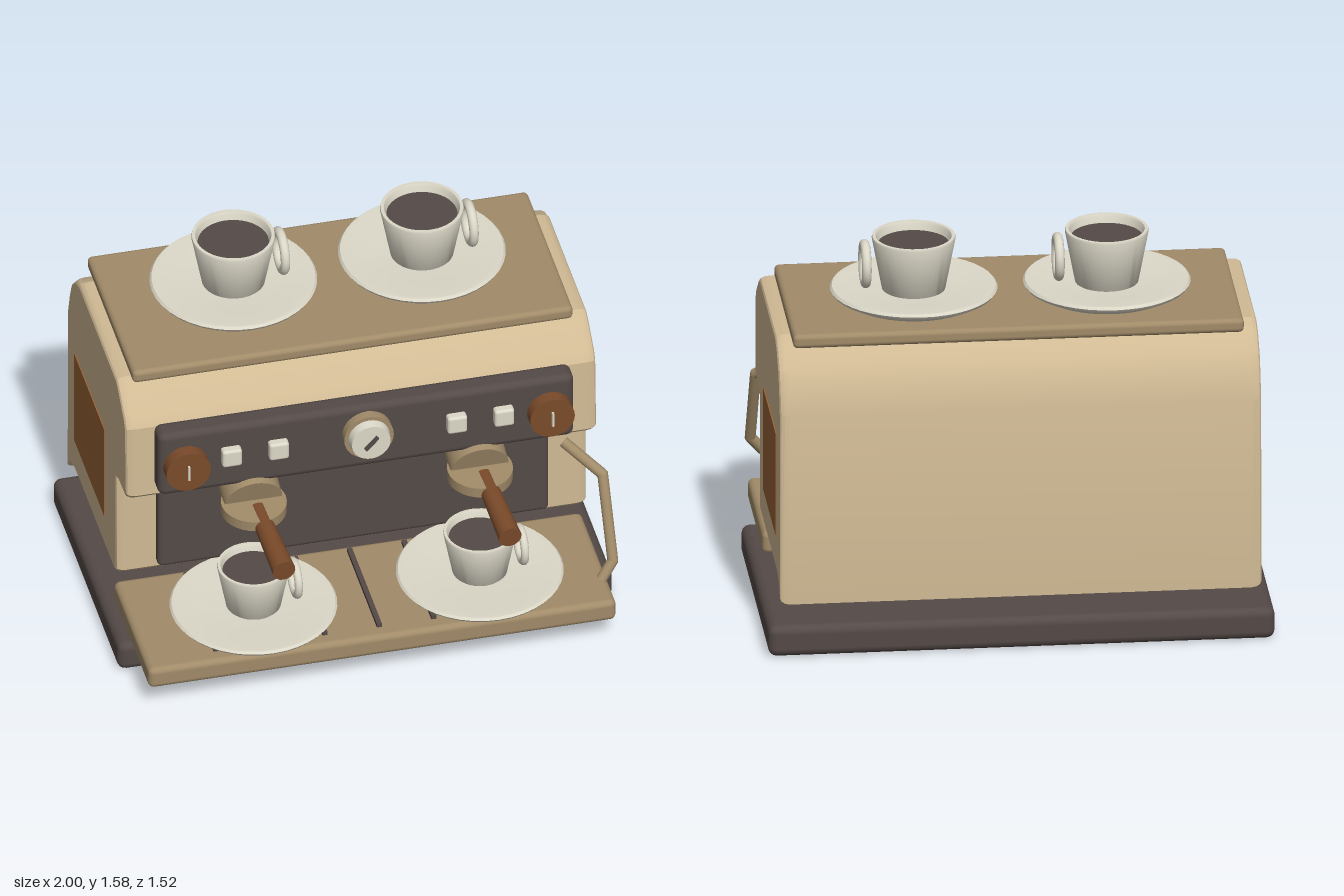
import * as THREE from 'three';
import { toCreasedNormals } from 'three/addons/utils/BufferGeometryUtils.js';
import { RoundedBoxGeometry } from 'three/addons/geometries/RoundedBoxGeometry.js';

const mat = (name, color) => {
  const m = new THREE.MeshStandardMaterial({ color });
  m.name = name;
  return m;
};

export function createModel() {
  const cream = mat('cream enamel', 0xd0ba94);
  const tan = mat('tan metal', 0xa18b69);
  const dark = mat('dark trim', 0x544a47);
  const white = mat('porcelain', 0xdcd8c8);
  const wood = mat('wood', 0x7a4a2a);
  const inlay = mat('side inlay', 0x976236);

  const model = new THREE.Group();
  model.name = 'espressoMachine';

  const add = (name, geo, material, x = 0, y = 0, z = 0, parent = model) => {
    const m = new THREE.Mesh(geo, material);
    m.name = name;
    m.position.set(x, y, z);
    parent.add(m);
    return m;
  };
  // rounded box given by its min and max on each axis
  const block = (name, material, [x0, x1], [y0, y1], [z0, z1], r) =>
    add(name, new RoundedBoxGeometry(x1 - x0, y1 - y0, z1 - z0, 2, r), material,
      (x0 + x1) / 2, (y0 + y1) / 2, (z0 + z1) / 2);
  // cylinder between two points
  const rod = (name, material, a, b, r, parent = model, sides = 24, rEnd = r) => {
    const p = new THREE.Vector3(...a), q = new THREE.Vector3(...b);
    const d = q.clone().sub(p);
    const m = add(name, new THREE.CylinderGeometry(rEnd, r, d.length(), sides), material, 0, 0, 0, parent);
    m.position.copy(p).add(q).multiplyScalar(0.5);
    m.quaternion.setFromUnitVectors(new THREE.Vector3(0, 1, 0), d.normalize());
    return m;
  };

  // base, drip tray and tray slots
  block('base', dark, [-1, 1], [0, 0.13], [-0.76, 0.36], 0.035);
  block('dripTray', tan, [-0.945, 0.945], [0.115, 0.21], [0.04, 0.64], 0.025);
  for (let i = -3; i <= 3; i++) {
    add('traySlot', new THREE.BoxGeometry(0.02, 0.02, 0.5), dark, i * 0.22, 0.217, 0.33);
  }

  // body: side profile (z, y) extruded across the width
  const profile = new THREE.Shape([
    [0.09, 0.285], [0.115, 0.31], [0.115, 0.765], [0.14, 0.78], [0.265, 0.785],
    [0.29, 0.81], [0.285, 0.9], [0.275, 1.13], [0.25, 1.17], [0.15, 1.25], [0.11, 1.27],
    [-0.51, 1.27], [-0.58, 1.24], [-0.65, 1.17], [-0.68, 1.1], [-0.71, 1.0],
    [-0.71, 0.205], [-0.66, 0.255], [-0.6, 0.28], [-0.5, 0.285],
  ].map(([z, y]) => new THREE.Vector2(z, y)));
  const bodyGeo = new THREE.ExtrudeGeometry(profile, {
    depth: 1.82, bevelEnabled: true, bevelThickness: 0.04, bevelSize: 0.018,
    bevelOffset: -0.018, bevelSegments: 3,
  });
  bodyGeo.translate(0, 0, -0.91);
  bodyGeo.rotateY(-Math.PI / 2);
  add('body', toCreasedNormals(bodyGeo, 0.4), cream);
  for (const s of [-1, 1]) {
    add('sideInlay', new THREE.BoxGeometry(0.008, 0.43, 0.495), inlay, s * 0.951, 0.66, -0.3225);
  }

  // cup shelf, control panel and backsplash
  block('cupShelf', tan, [-0.89, 0.89], [1.25, 1.308], [-0.63, 0.145], 0.02);
  block('controlPanel', dark, [-0.84, 0.84], [0.848, 1.15], [0.27, 0.37], 0.03);
  block('backsplash', dark, [-0.79, 0.79], [0.325, 0.74], [0.09, 0.152], 0.02);

  // knobs and buttons
  for (const s of [-1, 1]) {
    const x = s * 0.735;
    rod('knobStem', tan, [x, 1.005, 0.35], [x, 1.005, 0.39], 0.05);
    rod('knob', wood, [x, 1.005, 0.382], [x, 1.005, 0.435], 0.09, model, 32);
    add('knobMark', new THREE.BoxGeometry(0.008, 0.065, 0.015), white, x, 1.005, 0.44);
    for (const bx of [0.36, 0.55]) {
      block('button', white, [s * bx - 0.04, s * bx + 0.04], [0.973, 1.053], [0.35, 0.405], 0.012);
    }
  }

  // pressure gauge
  rod('gaugeBezel', tan, [0, 1.025, 0.35], [0, 1.025, 0.408], 0.1, model, 32);
  rod('gaugeFace', white, [0, 1.025, 0.4], [0, 1.025, 0.445], 0.085, model, 32, 0.078);
  const needle = add('gaugeNeedle', new THREE.BoxGeometry(0.012, 0.072, 0.014), dark, 0, 1.027, 0.452);
  needle.rotation.z = -0.75;

  // brew groups with filter holders
  for (const x of [-0.457, 0.457]) {
    const g = new THREE.Group();
    g.name = 'brewGroup';
    model.add(g);
    rod('groupHead', tan, [x, 0.815, 0.165], [x, 0.757, 0.364], 0.117, g, 32);
    const ring = add('filterHolder', new THREE.CylinderGeometry(0.13, 0.13, 0.045, 32), tan, x, 0.742, 0.37, g);
    ring.rotation.x = 0.05;
    rod('handle', wood, [x + 0.01, 0.733, 0.39], [x + 0.029, 0.703, 0.758], 0.037, g, 20, 0.046);
  }

  // steam wand with bent joints
  const wand = [[0.8, 0.81, 0.345], [0.93, 0.715, 0.465], [0.937, 0.39, 0.605], [0.885, 0.325, 0.63]];
  wand.slice(1).forEach((p, i) => rod('steamWand', tan, wand[i], p, 0.022, model, 12));
  wand.slice(1, 3).forEach((p) => add('wandJoint', new THREE.SphereGeometry(0.022, 12, 8), tan, ...p));

  // cups with saucers
  const lathe = (pts) => toCreasedNormals(
    new THREE.LatheGeometry(pts.map((p) => new THREE.Vector2(...p)), 40), 0.7);
  const saucerGeo = lathe([[0, 0], [0.23, 0], [0.27, 0.012], [0.322, 0.038], [0.33, 0.05],
    [0.322, 0.06], [0.3, 0.06], [0.2, 0.048], [0, 0.045]]);
  const cupGeo = lathe([[0, 0], [0.115, 0], [0.125, 0.01], [0.165, 0.222], [0.163, 0.23],
    [0.15, 0.23], [0.145, 0.22], [0.132, 0.15], [0, 0.15]]);
  const addCup = (x, y, z, size, thick) => {
    const g = new THREE.Group();
    g.name = 'cupAndSaucer';
    g.position.set(x, y, z);
    model.add(g);
    add('saucer', saucerGeo, white, 0, 0, 0, g).scale.y = thick;
    const cup = new THREE.Group();
    cup.name = 'cup';
    cup.position.y = 0.04;
    cup.scale.setScalar(size);
    g.add(cup);
    add('cupBowl', cupGeo, white, 0, 0, 0, cup);
    add('coffee', new THREE.CircleGeometry(0.142, 40).rotateX(-Math.PI / 2), dark, 0, 0.195, 0, cup);
    add('cupHandle', new THREE.TorusGeometry(0.078, 0.019, 12, 32).rotateY(Math.PI / 2), white,
      0.192, 0.117, 0, cup);
  };
  for (const s of [-1, 1]) {
    addCup(s * 0.381, 1.308, -0.285, 1, 1.05);
    addCup(s * 0.457, 0.206, 0.366, 0.87, 0.9);
  }

  return model;
}
